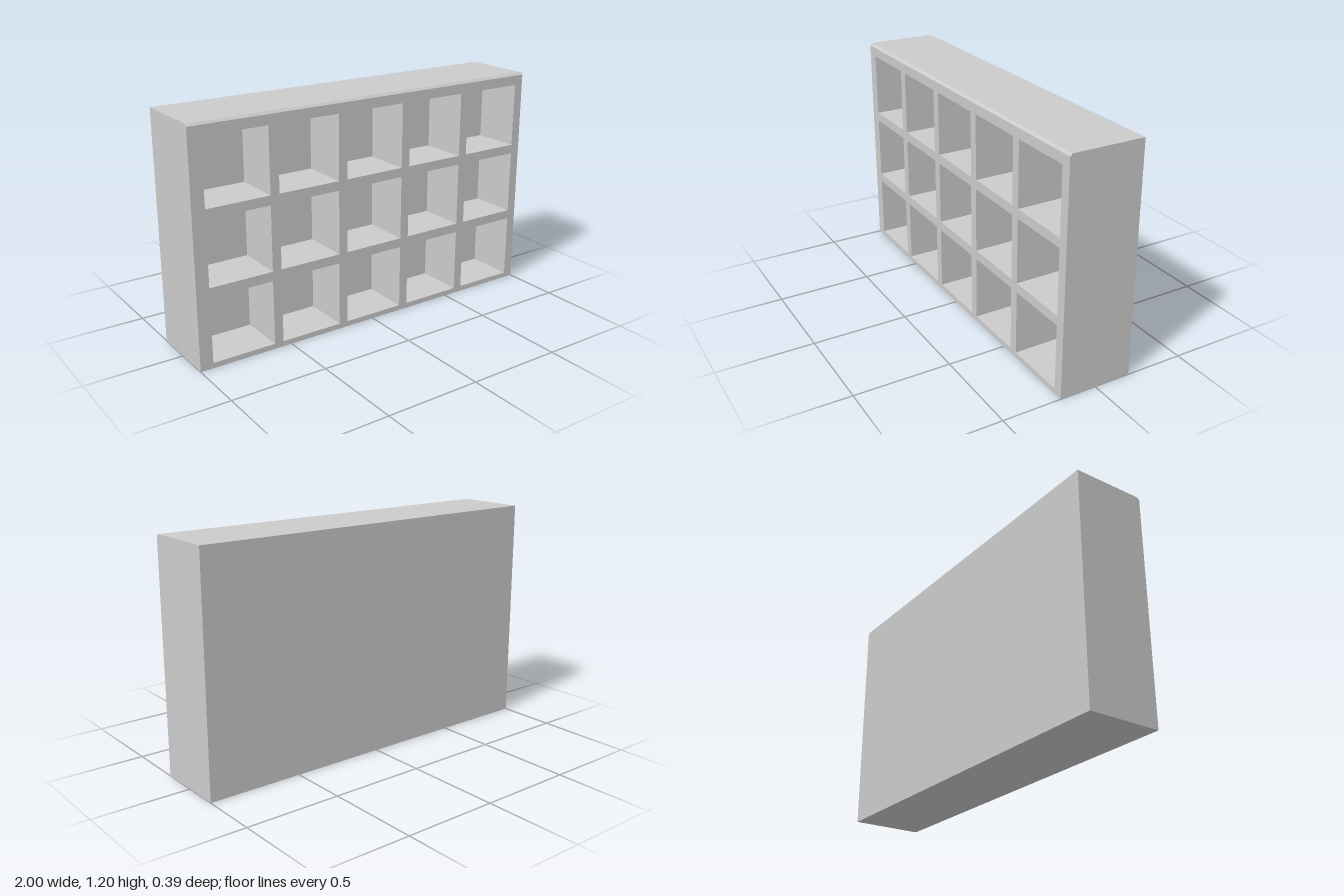
import * as THREE from 'three';

const WIDTH = 2, HEIGHT = 1.2, FRONT = 0.193, CHAMFER = 0.012;
const COLS = 5, ROWS = 3, CELL = 0.337, PITCH = 0.386, POCKET_DEPTH = 0.255;
const FIRST_X = -0.764, FIRST_Y = 0.196; // centre of the lower left pocket

// Removes the triangles lying in the front plane, leaving flat-shaded faces.
function openFront(geometry) {
  const source = geometry.index ? geometry.toNonIndexed() : geometry;
  const p = source.attributes.position;
  const kept = [];
  for (let i = 0; i < p.count; i += 3) {
    const corners = [i, i + 1, i + 2];
    if (corners.every(c => Math.abs(p.getZ(c) - FRONT) < 1e-5)) continue;
    for (const c of corners) kept.push(p.getX(c), p.getY(c), p.getZ(c));
  }
  const result = new THREE.BufferGeometry();
  result.setAttribute('position', new THREE.Float32BufferAttribute(kept, 3));
  result.computeVertexNormals();
  return result;
}

export function createModel() {
  const group = new THREE.Group();
  group.name = 'pigeonholeShelf';
  const material = new THREE.MeshStandardMaterial({ color: 0xcccccc });
  const add = (name, geometry) => {
    const mesh = new THREE.Mesh(geometry, material);
    mesh.name = name;
    group.add(mesh);
    return mesh;
  };

  // Outer case: side profile with a chamfered top front edge, swept along x
  const profile = new THREE.Shape([
    [-FRONT, 0], [FRONT, 0], [FRONT, HEIGHT],
    [-FRONT + CHAMFER, HEIGHT], [-FRONT, HEIGHT - CHAMFER],
  ].map(([x, y]) => new THREE.Vector2(x, y)));
  const sweep = new THREE.ExtrudeGeometry(profile, { depth: WIDTH, bevelEnabled: false });
  sweep.rotateY(Math.PI / 2).translate(-WIDTH / 2, 0, 0);
  add('outerCase', openFront(sweep));

  // Front frame with one square opening per pocket
  const top = HEIGHT - CHAMFER, side = WIDTH / 2, half = CELL / 2;
  const face = new THREE.Shape([
    [-side, 0], [side, 0], [side, top], [-side, top],
  ].map(([x, y]) => new THREE.Vector2(x, y)));

  // Pockets: inward-facing boxes without a front
  const box = new THREE.BoxGeometry(CELL, CELL, POCKET_DEPTH).scale(1, 1, -1);
  box.translate(0, 0, FRONT - POCKET_DEPTH / 2);
  const pocket = openFront(box);

  for (let row = 0; row < ROWS; row++) {
    for (let col = 0; col < COLS; col++) {
      const x = FIRST_X + col * PITCH, y = FIRST_Y + row * PITCH;
      face.holes.push(new THREE.Path([
        [-half, -half], [-half, half], [half, half], [half, -half],
      ].map(([dx, dy]) => new THREE.Vector2(x + dx, y + dy))));
      add(`pocketRow${row + 1}Column${col + 1}`, pocket).position.set(x, y, 0);
    }
  }
  add('frontFrame', new THREE.ShapeGeometry(face).translate(0, 0, FRONT));

  return group;
}
